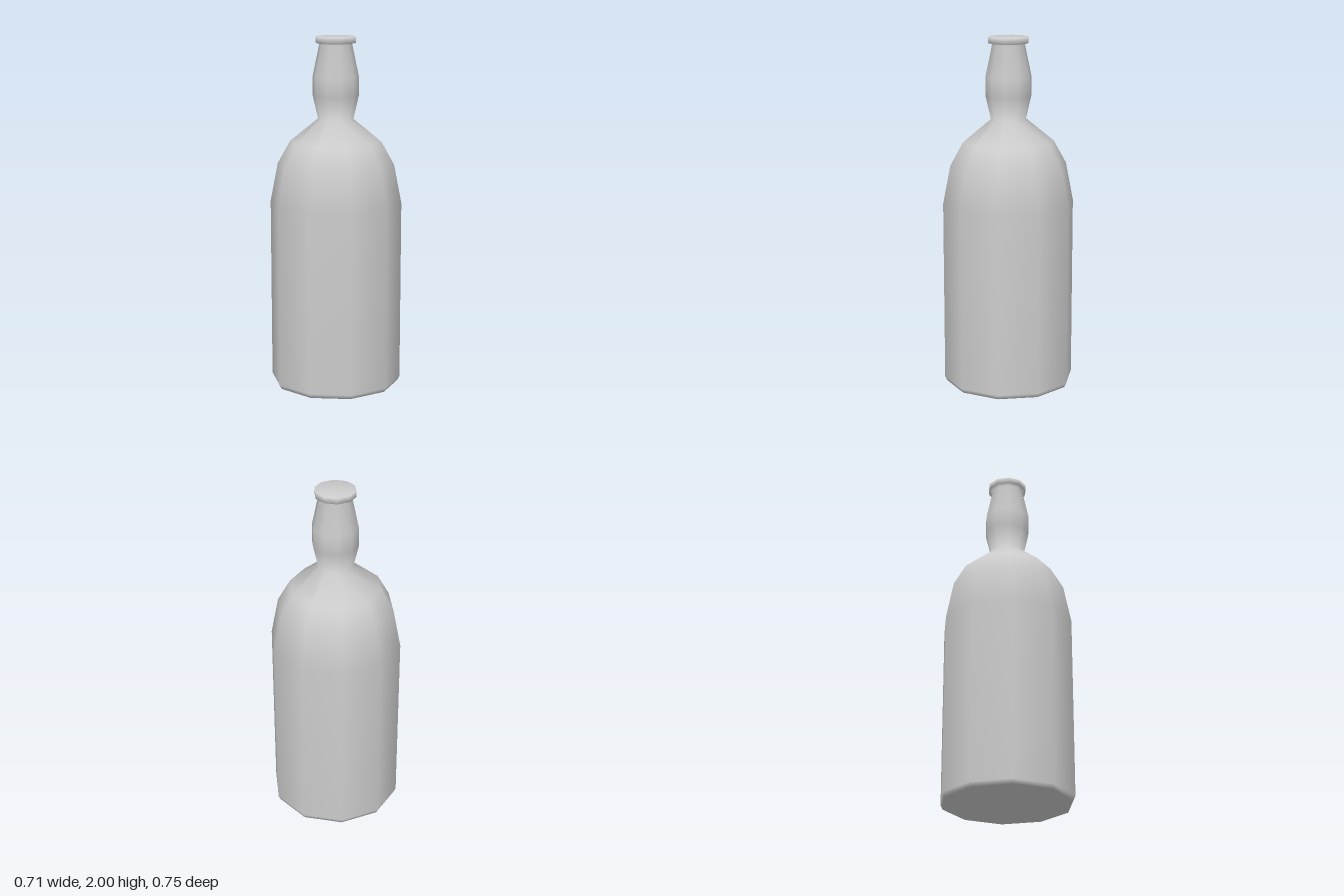
import * as THREE from 'three';

const SIDES = 10;

// Turns a [radius, height] profile, listed from bottom to top, into a ten-sided smooth part
function turned(name, profile, material) {
  const points = profile.map(([r, y]) => new THREE.Vector2(r, y));
  const mesh = new THREE.Mesh(new THREE.LatheGeometry(points, SIDES), material);
  mesh.name = name;
  return mesh;
}

export function createModel() {
  const group = new THREE.Group();
  group.name = 'bottle';

  const glass = new THREE.MeshStandardMaterial({ color: 0xcccccc });
  glass.name = 'light grey';

  // One continuous skin, so that the shading runs smoothly from base to lip
  group.add(turned('bottleBody', [
    // base
    [0, 0], [0.363, 0], [0.375, 0.025],
    // straight wall and rounded shoulder
    [0.375, 1.06], [0.332, 1.28], [0.26, 1.41], [0.1, 1.54],
    // bulging neck
    [0.13, 1.67], [0.13, 1.78], [0.092, 1.96],
    // lip and closed top
    [0.114, 1.965], [0.114, 2], [0, 2],
  ], glass));

  return group;
}
